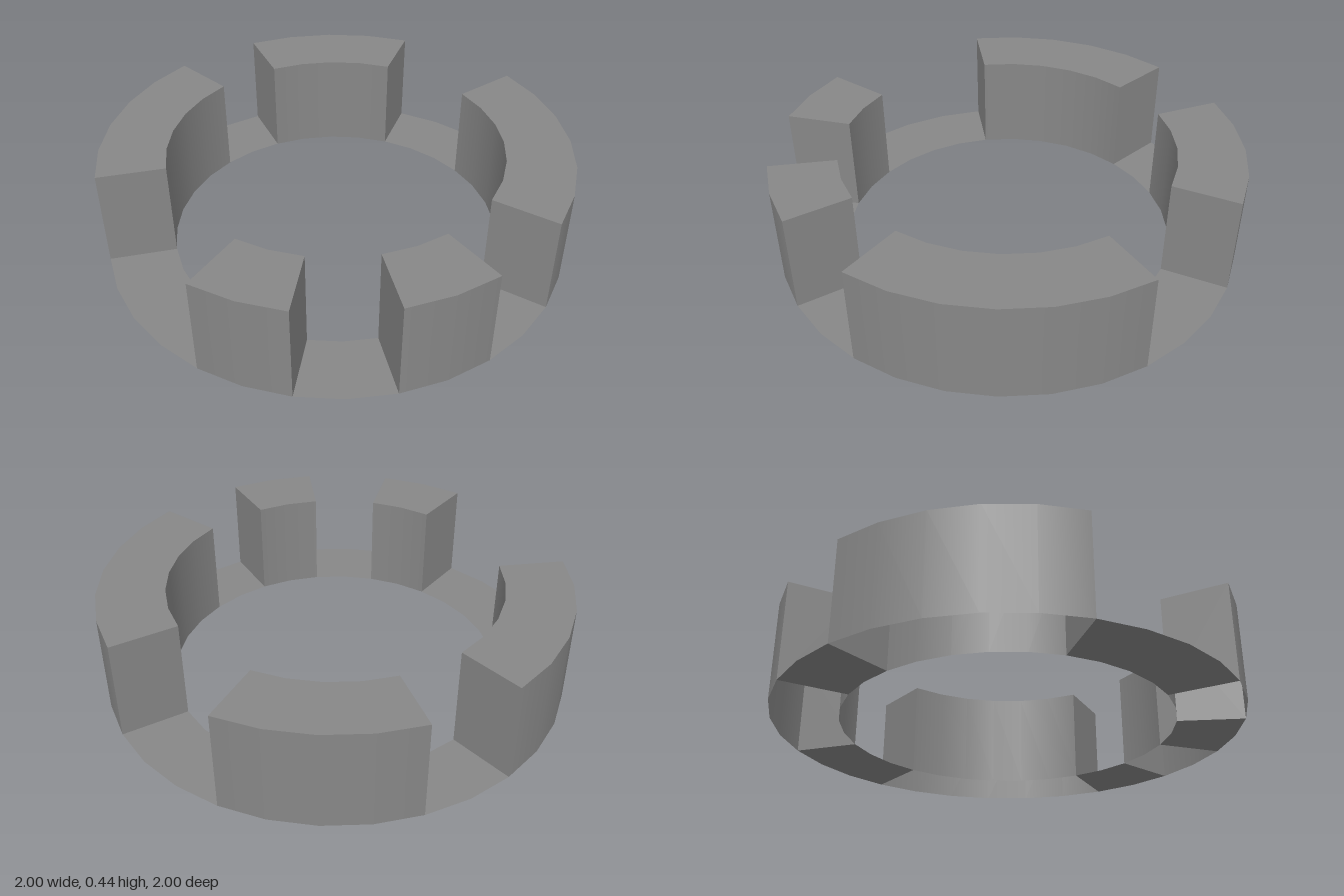
import * as THREE from 'three';
import { mergeGeometries } from 'three/addons/utils/BufferGeometryUtils.js';

const OUTER = 1.002, INNER = 0.716, HEIGHT = 0.435;
const STEP = (Math.PI * 2) / 32;              // the ring has 32 facets
const OFFSET = THREE.MathUtils.degToRad(7.5); // angle of facet edge 0, from +z towards +x
const angle = (k) => OFFSET + k * STEP;

// Swept strip between two profile points, from facet edge a to facet edge b
function strip(r0, y0, r1, y1, a, b) {
  const profile = [new THREE.Vector2(r0, y0), new THREE.Vector2(r1, y1)];
  return new THREE.LatheGeometry(profile, b - a, angle(a), (b - a) * STEP);
}

// Flat radial wall that closes one end of a block
function endWall(k, isEnd) {
  const wall = new THREE.PlaneGeometry(OUTER - INNER, HEIGHT);
  if (isEnd) wall.rotateY(Math.PI);
  wall.translate((OUTER + INNER) / 2, HEIGHT / 2, 0);
  return wall.rotateY(angle(k) - Math.PI / 2);
}

// Raised block, open underneath
function blockGeometry(a, b) {
  return mergeGeometries([
    strip(OUTER, 0, OUTER, HEIGHT, a, b),
    strip(OUTER, HEIGHT, INNER, HEIGHT, a, b),
    strip(INNER, HEIGHT, INNER, 0, a, b),
    endWall(a, false),
    endWall(b, true),
  ]);
}

export function createModel() {
  const group = new THREE.Group();
  group.name = 'crenellatedRing';
  const material = new THREE.MeshStandardMaterial({ color: 0x878787, side: THREE.DoubleSide });
  const add = (name, geometry) => {
    const mesh = new THREE.Mesh(geometry, material);
    mesh.name = name;
    group.add(mesh);
  };

  // First and last facet edge of each block, in order round the ring
  const blocks = [[-2, 0], [2, 4], [6, 12], [15, 19], [21, 26]];
  blocks.forEach(([a, b], i) => {
    add(`block${i + 1}`, blockGeometry(a, b));
    // Thin floor from this block to the next
    const next = i + 1 < blocks.length ? blocks[i + 1][0] : blocks[0][0] + 32;
    add(`gapFloor${i + 1}`, strip(OUTER, 0, INNER, 0, b, next));
  });
  return group;
}
